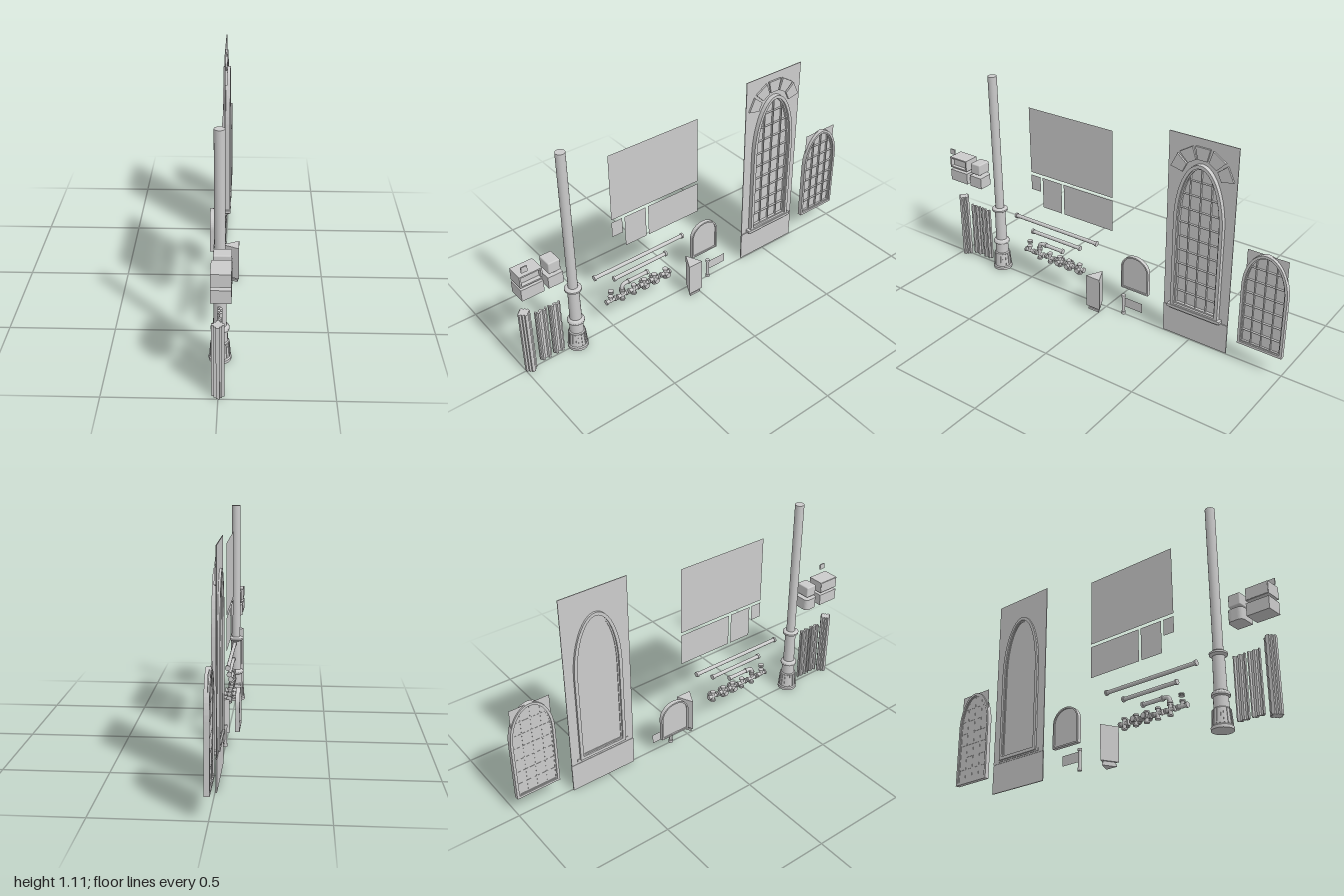
import * as THREE from 'three';
import { RoundedBoxGeometry } from 'three/addons/geometries/RoundedBoxGeometry.js';

const mat = new THREE.MeshStandardMaterial({ color: 0xcccccc });
const thin = new THREE.MeshStandardMaterial({ color: 0xcccccc, side: THREE.DoubleSide });

export function createModel() {
  const root = new THREE.Group();
  const group = (name, parent = root) => {
    const g = new THREE.Group();
    g.name = name;
    parent.add(g);
    return g;
  };
  const add = (name, geo, parent = root, m = mat) => {
    const mesh = new THREE.Mesh(geo, m);
    mesh.name = name;
    parent.add(mesh);
    return mesh;
  };
  // box from minimum and maximum corners
  const box = (name, x0, x1, y0, y1, z0, z1, parent) =>
    add(name, new THREE.BoxGeometry(x1 - x0, y1 - y0, z1 - z0)
      .translate((x0 + x1) / 2, (y0 + y1) / 2, (z0 + z1) / 2), parent);
  // flat sheet facing sideways
  const sheet = (name, x, y0, y1, z0, z1, parent) =>
    add(name, new THREE.PlaneGeometry(z1 - z0, y1 - y0).rotateY(Math.PI / 2)
      .translate(x, (y0 + y1) / 2, (z0 + z1) / 2), parent, thin);
  const toShape = pts => new THREE.Shape(pts.map(p => new THREE.Vector2(...p)));
  // extrude a (-z, y) outline along x, starting at x0
  const slab = (name, shape, x0, depth, parent) =>
    add(name, new THREE.ExtrudeGeometry(shape, { depth, bevelEnabled: false })
      .rotateY(Math.PI / 2).translate(x0, 0, 0), parent);
  // extrude an (x, z) outline upward
  const column = (name, pts, y0, y1, parent) =>
    add(name, new THREE.ExtrudeGeometry(toShape(pts.map(([x, z]) => [x, -z])), { depth: y1 - y0, bevelEnabled: false })
      .rotateX(-Math.PI / 2).translate(0, y0, 0), parent);
  const archPoints = (c, hw, y0, spring, top, n = 24) => {
    const pts = [[c - hw, y0], [c + hw, y0]];
    for (let i = 0; i <= n; i++) {
      const a = Math.PI * i / n;
      pts.push([c + hw * Math.cos(a), spring + (top - spring) * Math.sin(a)]);
    }
    return pts;
  };
  const ring = (outer, inner) => {
    const s = toShape(outer);
    s.holes.push(toShape(inner));
    return s;
  };

  // Arched frame with thin glazing bars clipped to the arch
  function archedWindow(name, c, hw, y0, spring, top, rim, x0, depth, glassX, rows, cols, parent) {
    const g = group(name, parent);
    const [iw, iy, it] = [hw - rim, y0 + rim, top - rim];
    slab('windowFrame', ring(archPoints(c, hw, y0, spring, top), archPoints(c, iw, iy, spring, it)), x0, depth, g);
    const step = rim * 0.45;
    slab('innerMoulding', ring(archPoints(c, iw, iy, spring, it),
      archPoints(c, iw - step, iy + step, spring, it - step)), x0 + depth * 0.2, depth * 0.5, g);
    const t = 0.0012, bx0 = glassX - 0.001, bx1 = glassX + 0.011;
    for (let i = 1; i < cols; i++) {
      const u = -iw + 2 * iw * i / cols;
      const yTop = spring + (it - spring) * Math.sqrt(1 - (u / iw) ** 2);
      box('verticalBar', bx0, bx1, iy, yTop, -c - u - t, -c - u + t, g);
    }
    for (let i = 1; i < rows; i++) {
      const y = iy + (it - iy) * i / rows;
      const w = y < spring ? iw : iw * Math.sqrt(1 - ((y - spring) / (it - spring)) ** 2);
      box('horizontalBar', bx0, bx1, y - t, y + t, -c - w, -c + w, g);
    }
    return g;
  }

  // Tall wall panel with window, sill and arch stones
  const wall = group('windowWall');
  const wc = 0.525;
  const wallShape = ring([[0.346, 0.155], [0.703, 0.155], [0.703, 1.075], [0.346, 1.075]],
    archPoints(wc, 0.122, 0.178, 0.64, 0.947));
  slab('upperWall', wallShape, -0.009, 0.004, wall);
  box('lowerWall', -0.009, -0.003, 0, 0.15, -0.703, -0.346, wall);
  box('wallBand', -0.007, -0.001, 0.148, 0.157, -0.703, -0.346, wall);
  const tall = archedWindow('tallWindow', wc, 0.13, 0.17, 0.64, 0.955, 0.017, -0.019, 0.037, -0.007, 10, 4, wall);
  slab('glass', toShape(archPoints(wc, 0.122, 0.178, 0.64, 0.947)), -0.008, 0.001, tall);
  box('sill', -0.012, 0.022, 0.163, 0.178, -0.67, -0.378, wall);
  box('sillLip', -0.009, 0.016, 0.155, 0.163, -0.66, -0.388, wall);
  for (let i = -2; i <= 2; i++) {
    const a = i * 0.56, h = 0.235;
    const at = (r, b) => [wc + r * Math.sin(b), 0.873 + r * Math.cos(b)];
    slab('archStone', toShape([at(0.103, a + h), at(0.167, a + h), at(0.167, a - h), at(0.103, a - h)]), -0.008, 0.012, wall);
  }

  // Smaller arched window on a rectangular pane
  const small = archedWindow('smallWindow', 0.884, 0.115, 0.105, 0.42, 0.612, 0.013, -0.005, 0.024, 0.002, 7, 4);
  sheet('pane', 0.002, 0.108, 0.61, -0.985, -0.78, small);

  // Plain wall sheets
  const sheets = group('wallSheets');
  [[0.643, 0.996, -0.037, 0.474], [0.545, 0.628, 0.414, 0.474],
    [0.46, 0.628, 0.278, 0.4], [0.46, 0.628, -0.037, 0.264]]
    .forEach(([y0, y1, z0, z1]) => sheet('wallSheet', 0, y0, y1, z0, z1, sheets));

  // Tall post with stepped base and collars
  const sharp = [[0, 0], [0.051, 0], [0.051, 0.014], [0.046, 0.02], [0.04, 0.095], [0.035, 0.1], [0.034, 0.152],
    [0.042, 0.157], [0.043, 0.166], [0.039, 0.174], [0.03, 0.18], [0.028, 0.345], [0.034, 0.348], [0.042, 0.353],
    [0.042, 0.362], [0.034, 0.368], [0.0235, 0.37], [0.0235, 1.112], [0, 1.112]];
  const post = group('post');
  post.position.z = 0.708;
  for (let i = 1; i < sharp.length; i++) {
    add('postSection', new THREE.LatheGeometry([sharp[i - 1], sharp[i]].map(p => new THREE.Vector2(...p)), 20), post);
  }
  for (let i = 0; i < 16; i++) {
    const rib = add('baseRib', new THREE.BoxGeometry(0.004, 0.07, 0.006), post);
    const a = i * Math.PI / 8;
    rib.position.set(0.0435 * Math.sin(a), 0.058, 0.0435 * Math.cos(a));
    rib.rotation.set(0, a - Math.PI / 2, 0.08);
  }

  // Pipes and fittings
  const pipes = group('pipes');
  const rod = (name, from, to, r, parent) => {
    const a = new THREE.Vector3(...from), d = new THREE.Vector3(...to).sub(a);
    const m = add(name, new THREE.CylinderGeometry(r, r, d.length(), 12), parent);
    m.position.copy(a).addScaledVector(d, 0.5);
    m.quaternion.setFromUnitVectors(new THREE.Vector3(0, 1, 0), d.normalize());
  };
  const straight = (y, z0, z1) => {
    rod('pipe', [0, y, z0], [0, y, z1], 0.01, pipes);
    rod('flange', [0, y, z0], [0, y, z0 + 0.01], 0.014, pipes);
    rod('flange', [0, y, z1 - 0.01], [0, y, z1], 0.014, pipes);
  };
  straight(0.354, 0.058, 0.592);
  straight(0.292, 0.163, 0.482);
  const bend = new THREE.CurvePath();
  const v = (y, z) => new THREE.Vector3(0, y, z);
  bend.add(new THREE.LineCurve3(v(0.2, 0.437), v(0.21, 0.437)));
  bend.add(new THREE.QuadraticBezierCurve3(v(0.21, 0.437), v(0.234, 0.437), v(0.234, 0.41)));
  bend.add(new THREE.LineCurve3(v(0.234, 0.41), v(0.234, 0.28)));
  add('bentPipe', new THREE.TubeGeometry(bend, 30, 0.01, 12), pipes);
  rod('flange', [0, 0.2, 0.437], [0, 0.21, 0.437], 0.014, pipes);
  rod('flange', [0, 0.234, 0.278], [0, 0.234, 0.288], 0.014, pipes);
  rod('flange', [0, 0.234, 0.39], [0, 0.234, 0.4], 0.014, pipes);
  for (const y of [0.217, 0.227]) rod('pipeClamp', [0, y - 0.002, 0.502], [0, y + 0.002, 0.502], 0.014, pipes);
  rod('clampCore', [0, 0.215, 0.502], [0, 0.229, 0.502], 0.007, pipes);
  const dirs = { u: [0, 1, 0], d: [0, -1, 0], l: [1, 0, 0], r: [-1, 0, 0], f: [0, 0, 1], b: [0, 0, -1] };
  [[0.505, 'fbu'], [0.437, 'fbud'], [0.367, 'fbud'], [0.302, 'fbudlr'], [0.24, 'fbudlr'], [0.17, 'fbudl']].forEach(([z, arms]) => {
    const g = group('pipeFitting', pipes);
    g.position.set(0, 0.168, z);
    add('fittingCore', new THREE.SphereGeometry(0.011, 12, 8), g);
    for (const k of arms) {
      const at = s => dirs[k].map(c => c * s);
      rod('fittingArm', [0, 0, 0], at(0.029), 0.0095, g);
      rod('fittingFlange', at(0.021), at(0.029), 0.014, g);
    }
  });

  // Triangular cabinet on a smaller foot
  const cabinet = group('triangularCabinet');
  const tri = s => [[-0.01, 0.03], [0.075, -0.01], [0.075, 0.073]]
    .map(([x, z]) => [0.047 + (x - 0.047) * s, 0.031 + (z - 0.031) * s]);
  column('cabinetBody', tri(1), 0.022, 0.2, cabinet);
  column('cabinetNeck', tri(0.65), 0.012, 0.022, cabinet);
  column('cabinetFoot', tri(0.8), 0, 0.012, cabinet);

  // Rounded sign with raised rim
  const sign = group('archedSign');
  const outer = archPoints(0.134, 0.082, 0.112, 0.235, 0.31);
  const inner = archPoints(0.134, 0.074, 0.12, 0.235, 0.302);
  slab('signRim', ring(outer, inner), -0.077, 0.021, sign);
  slab('signPanel', toShape(inner), -0.07, 0.007, sign);

  // Short post carrying a flag plate
  const flag = group('flagPost');
  rod('flagPole', [0, 0, -0.108], [0, 0.108, -0.108], 0.008, flag);
  rod('flagPoleFoot', [0, 0, -0.108], [0, 0.015, -0.108], 0.011, flag);
  rod('flagPoleCap', [0, 0.1, -0.108], [0, 0.112, -0.108], 0.011, flag);
  sheet('flagPlate', 0, 0.046, 0.098, -0.222, -0.115, flag);

  // Cross-shaped pilaster and two ribbed panels
  const trims = group('trimColumns');
  const q = [[0.028, 0.008], [0.018, 0.008], [0.018, 0.018], [0.008, 0.018], [0.008, 0.028]];
  const cross = [];
  for (let k = 0; k < 4; k++) {
    const c = [1, 0, -1, 0][k], s = [0, 1, 0, -1][k];
    q.forEach(([x, z]) => cross.push([x * c - z * s, 0.972 + x * s + z * c]));
  }
  column('pilaster', cross, 0, 0.358, trims);
  for (const z of [0.888, 0.815]) {
    const face = [[-0.03, 0.004], [-0.024, 0.004], [-0.02, 0.014], [-0.01, 0.014], [-0.006, 0.006],
      [0.006, 0.006], [0.01, 0.014], [0.02, 0.014], [0.024, 0.004], [0.03, 0.004]];
    const pts = [...face.map(([dz, x]) => [x, z + dz]), ...face.reverse().map(([dz, x]) => [x - 0.012, z + dz])];
    column('ribbedPanel', pts.reverse(), 0.022, 0.322, trims);
  }

  // Equipment boxes
  const units = group('equipmentBoxes');
  box('largeBox', -0.03, 0.056, 0.475, 0.536, 0.883, 0.998, units);
  slab('openBoxShell', ring([[-0.998, 0.55], [-0.883, 0.55], [-0.883, 0.61], [-0.998, 0.61]],
    [[-0.99, 0.557], [-0.891, 0.557], [-0.891, 0.603], [-0.99, 0.603]]), -0.028, 0.084, units);
  box('openBoxCore', -0.03, 0.035, 0.552, 0.608, 0.885, 0.996, units);
  const half = toShape([[0.056, -0.782], [0.056, -0.86], [-0.005, -0.86]]);
  half.quadraticCurveTo(-0.03, -0.86, -0.03, -0.835);
  half.lineTo(-0.03, -0.807);
  half.quadraticCurveTo(-0.03, -0.782, -0.005, -0.782);
  add('roundBackedBox', new THREE.ExtrudeGeometry(half, { depth: 0.061, bevelEnabled: false })
    .rotateX(-Math.PI / 2).translate(0, 0.475, 0), units);
  add('smallBox', new RoundedBoxGeometry(0.078, 0.06, 0.062, 2, 0.006).translate(0.015, 0.58, 0.82), units);
  box('smallPlate', 0.055, 0.061, 0.632, 0.662, 0.955, 0.986, units);

  return root;
}
